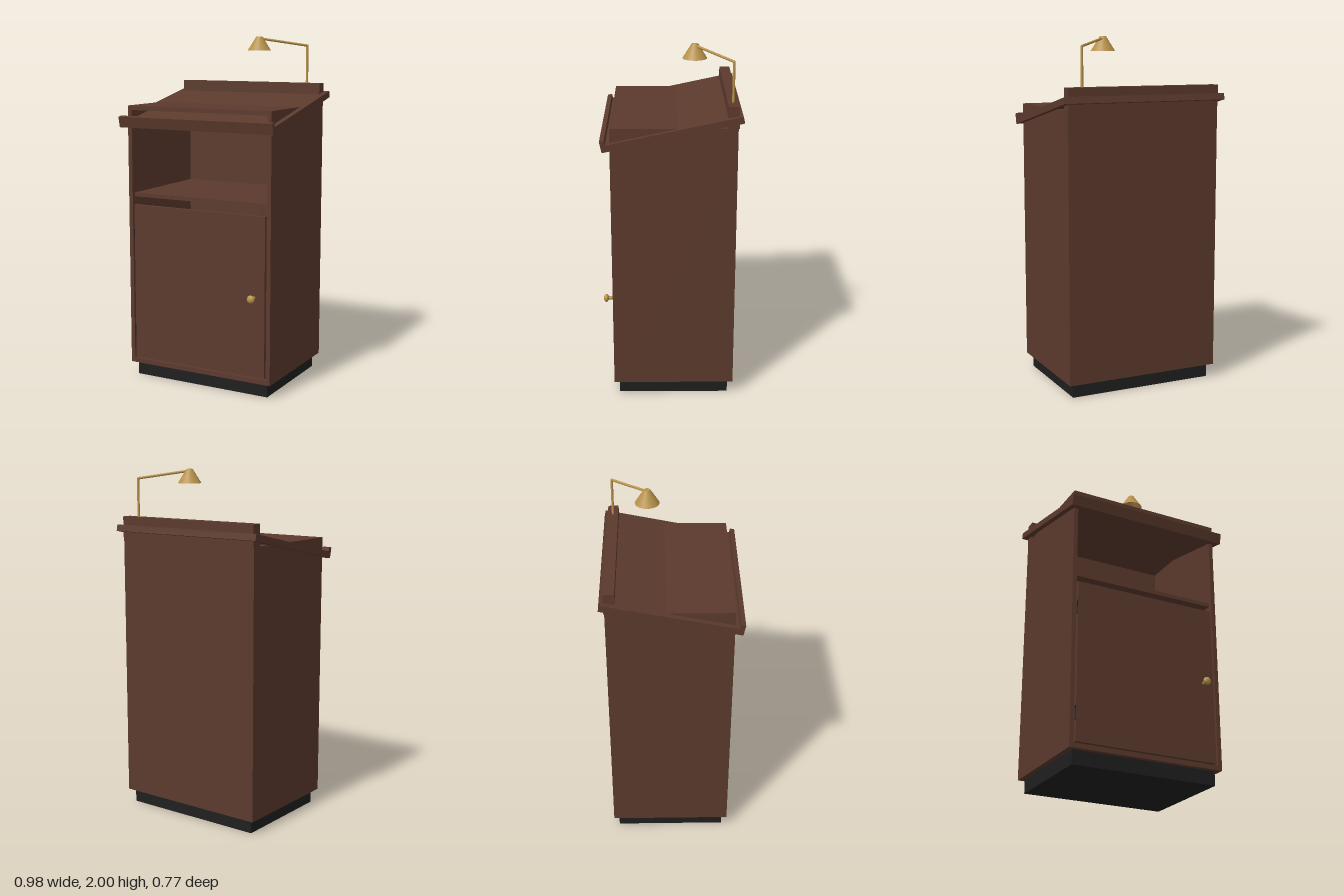
import * as THREE from 'three';

export function createModel() {
  const model = new THREE.Group();
  model.name = 'lectern';
  const mat = (name, color, side = THREE.FrontSide) => {
    const m = new THREE.MeshStandardMaterial({ color, side });
    m.name = name;
    return m;
  };
  const wood = mat('brown wood', 0x5c3a2d);
  const black = mat('black plinth', 0x1f1f1f);
  const brass = mat('brass', 0xb8924a, THREE.DoubleSide);

  const add = (name, geometry, material, parent = model) => {
    const mesh = new THREE.Mesh(geometry, material);
    mesh.name = name;
    parent.add(mesh);
    return mesh;
  };
  // Box given by its minimum and maximum on each axis
  const box = (name, x0, x1, y0, y1, z0, z1, material = wood, parent = model) => {
    const mesh = add(name, new THREE.BoxGeometry(x1 - x0, y1 - y0, z1 - z0), material, parent);
    mesh.position.set((x0 + x1) / 2, (y0 + y1) / 2, (z0 + z1) / 2);
    return mesh;
  };
  // Round rod between two points
  const rod = (name, a, b, r, material = brass) => {
    const dir = b.clone().sub(a);
    const mesh = add(name, new THREE.CylinderGeometry(r, r, dir.length(), 16), material);
    mesh.position.copy(a).add(b).multiplyScalar(0.5);
    mesh.quaternion.setFromUnitVectors(new THREE.Vector3(0, 1, 0), dir.normalize());
    return mesh;
  };
  const v = (x, y, z) => new THREE.Vector3(x, y, z);

  // Plinth and hollow cabinet
  box('plinth', -0.43, 0.43, 0, 0.08, -0.325, 0.3, black);
  for (const [name, s] of [['leftSide', 1], ['rightSide', -1]]) {
    box(name, s * 0.4475 - 0.0125, s * 0.4475 + 0.0125, 0.08, 1.61, -0.355, 0.33);
  }
  box('backPanel', -0.435, 0.435, 0.08, 1.61, -0.355, -0.33);
  box('bottomPanel', -0.435, 0.435, 0.08, 0.107, -0.33, 0.33);
  box('topPanel', -0.435, 0.435, 1.585, 1.61, -0.33, 0.33);
  box('shelf', -0.435, 0.435, 1.08, 1.103, -0.33, 0.305);

  // Door with hinges and knob
  box('door', -0.425, 0.425, 0.115, 1.035, 0.305, 0.33);
  for (const y of [0.27, 0.88]) {
    rod('hinge', v(-0.43, y - 0.04, 0.325), v(-0.43, y + 0.04, 0.325), 0.005, black);
  }
  rod('knobStem', v(0.36, 0.575, 0.32), v(0.36, 0.575, 0.37), 0.009);
  const knob = add('knob', new THREE.SphereGeometry(0.023, 20, 14), brass);
  knob.scale.z = 0.65;
  knob.position.set(0.36, 0.575, 0.371);

  // Sloping reading desk with a front lip
  const desk = new THREE.Group();
  desk.name = 'readingDesk';
  desk.position.set(0, 1.585, -0.004);
  desk.rotation.x = THREE.MathUtils.degToRad(12);
  box('deskTop', -0.49, 0.49, -0.0185, 0.0185, -0.386, 0.386, wood, desk);
  box('bookLip', -0.49, 0.49, 0.0185, 0.044, 0.36, 0.386, wood, desk);
  model.add(desk);
  box('backRail', -0.46, 0.46, 1.61, 1.73, -0.36, -0.3);

  // Reading lamp
  const elbow = v(0.367, 1.948, -0.33);
  rod('lampPost', v(0.367, 1.72, -0.33), elbow, 0.007);
  rod('lampArm', elbow, v(0.152, 1.99, -0.13), 0.007);
  add('lampElbow', new THREE.SphereGeometry(0.007, 12, 8), brass).position.copy(elbow);
  const shade = add('lampShade', new THREE.CylinderGeometry(0.018, 0.068, 0.08, 32, 1, true), brass);
  shade.position.set(0.152, 1.96, -0.13);
  const cap = add('lampCap', new THREE.CircleGeometry(0.018, 32), brass);
  cap.rotation.x = -Math.PI / 2;
  cap.position.set(0.152, 2, -0.13);

  return model;
}
